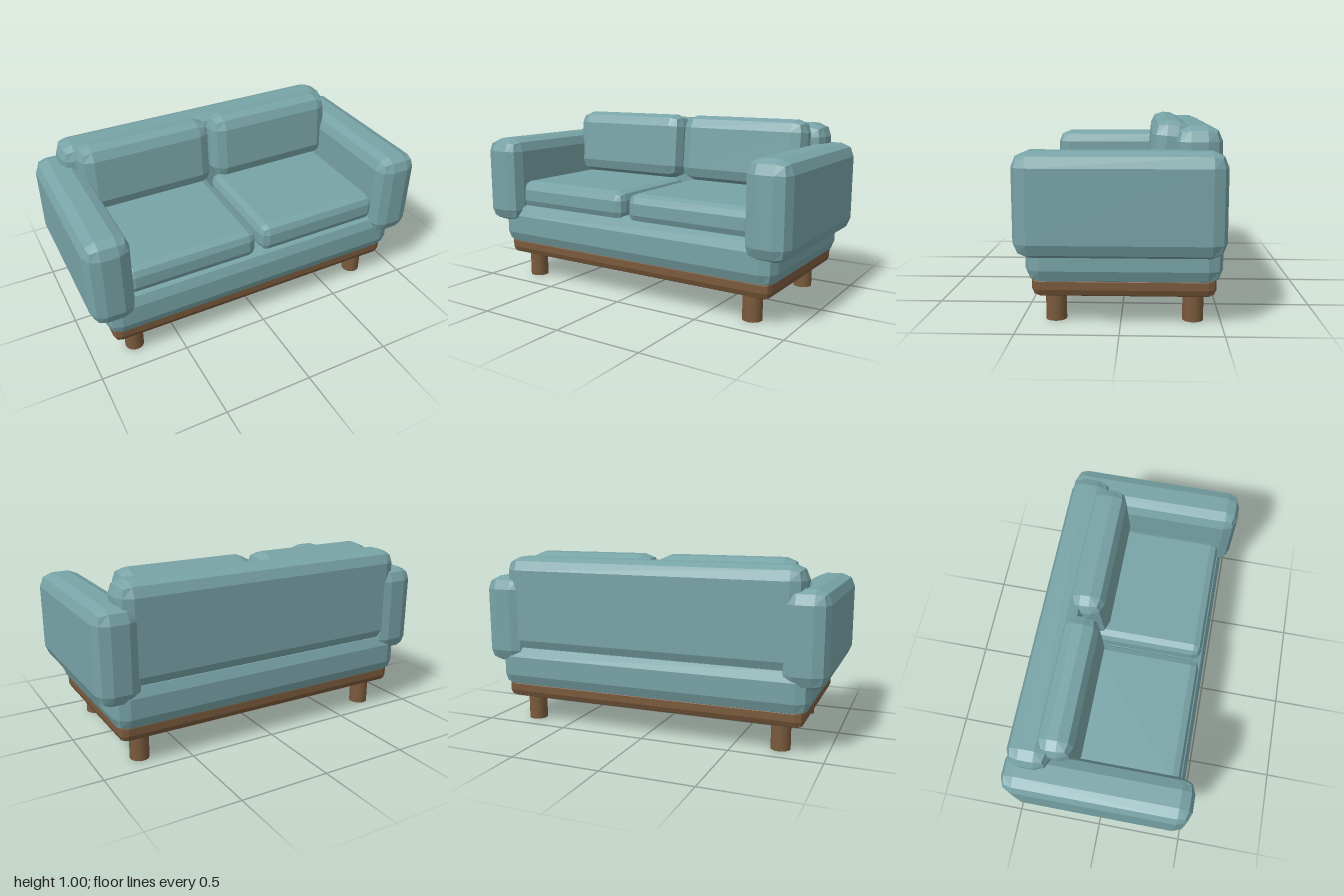
import * as THREE from 'three';
import { RoundedBoxGeometry } from 'three/addons/geometries/RoundedBoxGeometry.js';

export function createModel() {
  const sofa = new THREE.Group();
  sofa.name = 'sofa';

  const fabric = new THREE.MeshStandardMaterial({ color: 0x78a3a6, flatShading: true });
  fabric.name = 'teal fabric';
  const wood = new THREE.MeshStandardMaterial({ color: 0x7a5a3c });
  wood.name = 'brown wood';

  // Box with two-facet bevelled edges, given by its extents on each axis
  function softBox(name, material, [x0, x1], [y0, y1], [z0, z1], radius) {
    const geometry = new RoundedBoxGeometry(x1 - x0, y1 - y0, z1 - z0, 1, radius);
    // one flat normal per facet
    geometry.computeVertexNormals();
    const mesh = new THREE.Mesh(geometry, material);
    mesh.name = name;
    mesh.position.set((x0 + x1) / 2, (y0 + y1) / 2, (z0 + z1) / 2);
    sofa.add(mesh);
    return mesh;
  }

  // Frame, upholstered base and backrest
  softBox('woodenFrame', wood, [-0.885, 0.885], [0.145, 0.265], [-0.47, 0.435], 0.04);
  softBox('base', fabric, [-0.915, 0.915], [0.21, 0.47], [-0.5, 0.465], 0.075);
  softBox('backrest', fabric, [-0.872, 0.868], [0.42, 0.977], [-0.492, -0.261], 0.075);

  for (const side of [-1, 1]) {
    const label = side > 0 ? 'left' : 'right';
    // Extents mirrored to the chosen side
    const span = (a, b) => (side > 0 ? [a, b] : [-b, -a]);

    softBox(label + 'Arm', fabric, span(0.755, 1), [0.355, 0.865], [-0.51, 0.51], 0.075);
    softBox(label + 'SeatCushion', fabric, span(0.015, 0.79), [0.44, 0.606], [-0.25, 0.432], 0.05);

    // Back cushion leans slightly backwards
    const cushion = softBox(label + 'BackCushion', fabric, span(0.009, 0.803), [0.605, 1.001], [-0.342, -0.138], 0.075);
    cushion.rotation.x = -0.09;

    // Round legs, front and back
    for (const [place, z] of [['Front', 0.328], ['Back', -0.362]]) {
      const leg = new THREE.Mesh(new THREE.CylinderGeometry(0.053, 0.053, 0.17, 24), wood);
      leg.name = label + place + 'Leg';
      leg.position.set(side * 0.75, 0.085, z);
      sofa.add(leg);
    }
  }

  return sofa;
}
